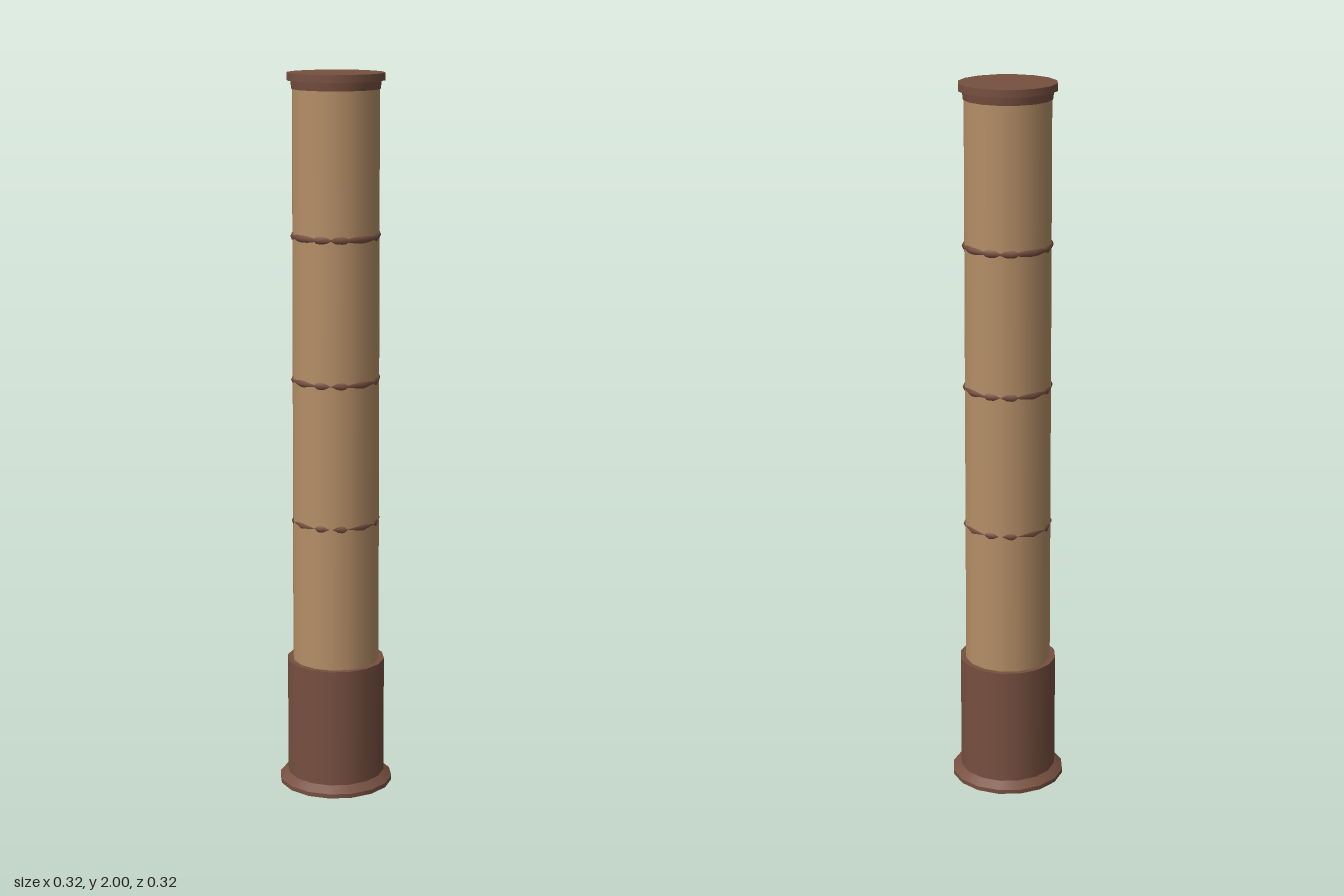
import * as THREE from 'three';

export function createModel() {
  const model = new THREE.Group();
  const tan = new THREE.MeshStandardMaterial({ name: 'tan wood', color: 0xb48e66 });
  const brown = new THREE.MeshStandardMaterial({ name: 'dark brown wood', color: 0x775040 });
  const sides = 16;

  function add(name, geometry, material, y) {
    const mesh = new THREE.Mesh(geometry, material);
    mesh.name = name;
    mesh.position.y = y;
    model.add(mesh);
  }

  // Round section between two heights
  function section(name, bottom, top, rBottom, rTop, material) {
    const geometry = new THREE.CylinderGeometry(rTop, rBottom, top - bottom, sides);
    add(name, geometry, material, (bottom + top) / 2);
  }

  // Foot and socket
  section('footRim', 0, 0.012, 0.16, 0.16, brown);
  section('footSlope', 0.012, 0.03, 0.16, 0.138, brown);
  section('socket', 0.03, 0.365, 0.137, 0.137, brown);

  // Gently tapered shaft
  section('shaft', 0.36, 1.97, 0.1215, 0.118, tan);

  // Shallow rings, sunk deeper into the shaft lower down
  for (const y of [0.77, 1.17, 1.565]) {
    const ring = new THREE.TorusGeometry(0.1115, 0.0125, 8, 12);
    ring.rotateX(Math.PI / 2);
    add('shaftRing', ring, brown, y);
  }

  // Collar and cap
  section('collar', 1.957, 1.98, 0.12, 0.123, brown);
  section('cap', 1.98, 2, 0.133, 0.133, brown);

  return model;
}
